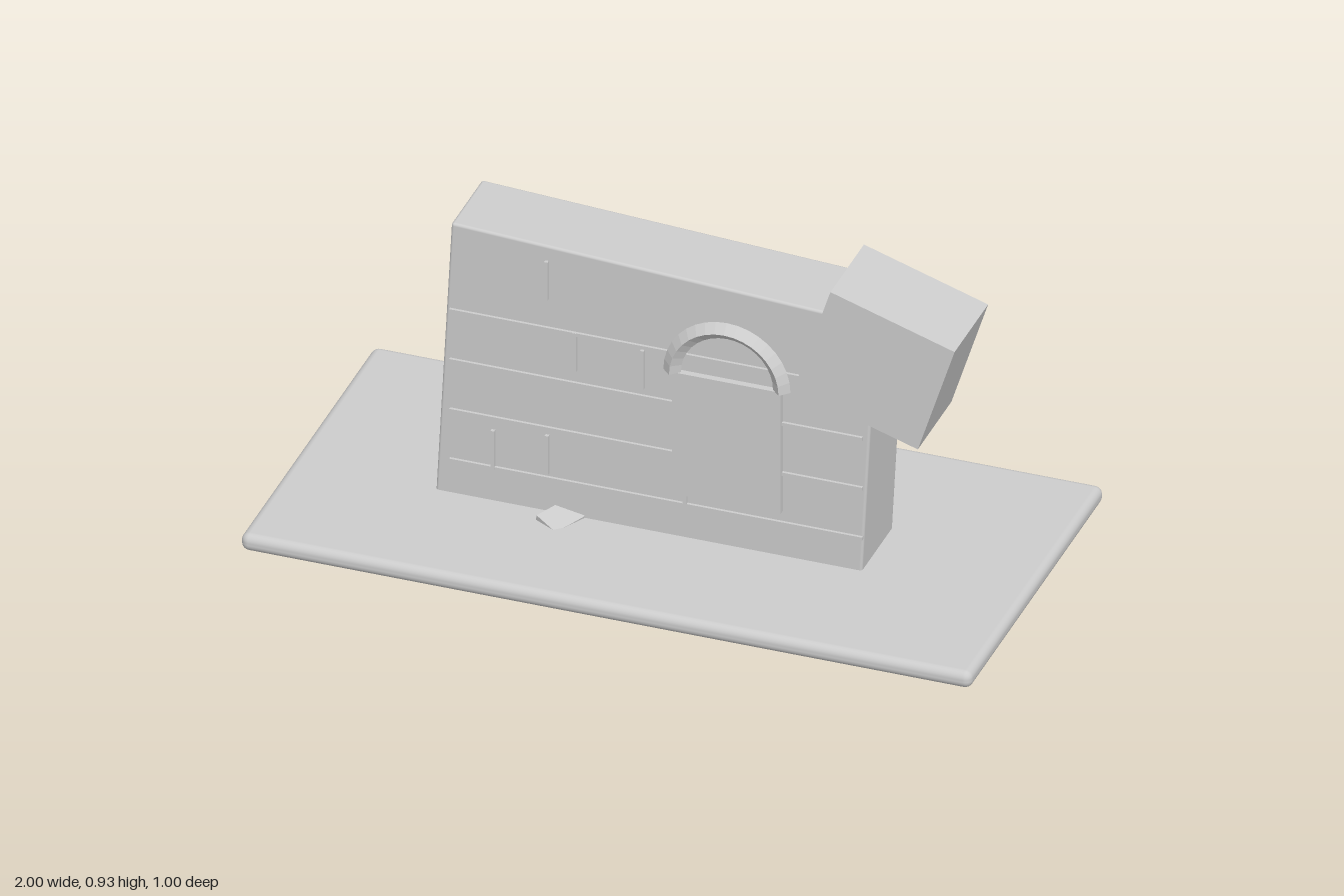
import * as THREE from 'three';
import { RoundedBoxGeometry } from 'three/addons/geometries/RoundedBoxGeometry.js';

export function createModel() {
  const model = new THREE.Group();
  model.name = 'ruinedWall';
  const stone = new THREE.MeshStandardMaterial({ name: 'paleStone', color: 0xcccccc });

  function add(name, geometry, position, rotation = [0, 0, 0], parent = model) {
    const mesh = new THREE.Mesh(geometry, stone);
    mesh.name = name;
    mesh.position.set(...position);
    mesh.rotation.set(...rotation);
    parent.add(mesh);
    return mesh;
  }
  const box = (w, h, d) => new THREE.BoxGeometry(w, h, d);

  // Ground slab with rounded rim
  add('groundSlab', new RoundedBoxGeometry(2, 0.05, 1, 3, 0.022), [0, 0.075, 0]);

  // Leaning wall, sunk into the slab, and the block slipping off its end
  add('wall', new RoundedBoxGeometry(1.165, 0.825, 0.23, 2, 0.008), [-0.002, 0.468, 0], [0, 0, -0.052]);
  add('fallenBlock', box(0.357, 0.33, 0.25), [0.599, 0.716, 0], [0, 0, -0.31]);

  // Mortar lines on the front face
  const mortar = new THREE.Group();
  mortar.name = 'mortarLines';
  model.add(mortar);
  for (const y of [0.2, 0.35, 0.5, 0.65]) {
    add('courseLine', box(1.13, 0.01, 0.02), [0, y, 0.113], [0, 0, 0], mortar);
  }
  const joints = [[-0.3, 0.795], [-0.222, 0.597], [-0.037, 0.583], [-0.298, 0.272], [-0.446, 0.256], [0.08, 0.252]];
  for (const [x, y] of joints) {
    add('jointLine', box(0.01, 0.115, 0.02), [x, y, 0.115], [0, 0, 0], mortar);
  }

  // Doorway panel running through the wall, with a faceted arch above the front
  add('doorPanel', box(0.297, 0.366, 0.265), [0.197, 0.418, 0.001]);
  const arch = new THREE.TorusGeometry(0.15, 0.024, 4, 18, Math.PI).toNonIndexed();
  arch.computeVertexNormals();
  add('doorArch', arch, [0.197, 0.602, 0.127]);

  // Tumbled rubble: size, position, rotation
  const rubble = [
    [[0.14, 0.11, 0.15], [-0.09, 0.125, -0.225], [0.15, -0.58, 0.12]],
    [[0.1, 0.09, 0.11], [-0.525, 0.095, -0.24], [0.2, -0.7, 0.35]],
    [[0.13, 0.12, 0.11], [-0.38, 0.105, -0.28], [0.45, -0.12, 0.3]],
    [[0.11, 0.09, 0.12], [-0.305, 0.1, -0.21], [-0.3, 0.5, -0.35]],
    [[0.1, 0.1, 0.1], [-0.44, 0.085, -0.12], [0.6, 0.5, 0.6]],
    [[0.075, 0.06, 0.1], [-0.257, 0.082, 0.138], [0.1, -0.5, -0.2]],
  ];
  for (const [size, position, rotation] of rubble) {
    add('rubbleStone', box(...size), position, rotation);
  }
  return model;
}
